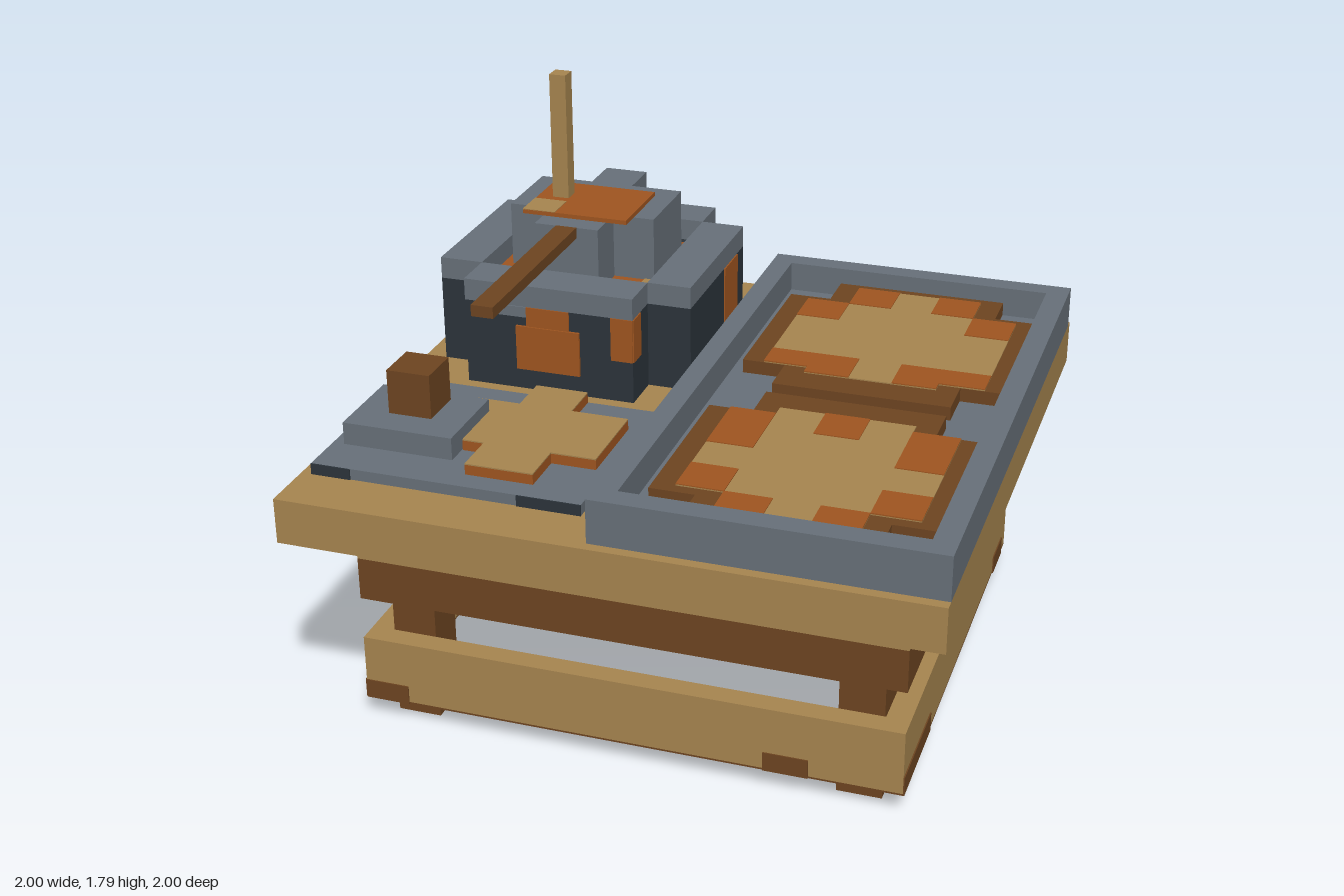
import * as THREE from 'three';

const mat = (name, color) => Object.assign(new THREE.MeshStandardMaterial({ color }), { name });

export function createModel() {
  const root = new THREE.Group();
  root.name = 'cookingTable';
  const tan = mat('tan', 0xa88650), brown = mat('brown', 0x6e4521), orange = mat('orange', 0xa05620);
  const slate = mat('slate', 0x68717a), dark = mat('charcoal', 0x2c343b);

  const group = (name) => {
    const g = new THREE.Group();
    g.name = name;
    root.add(g);
    return g;
  };
  // Box given by its extents along x, y and z
  const box = (g, name, m, x0, x1, y0, y1, z0, z1) => {
    const mesh = new THREE.Mesh(new THREE.BoxGeometry(x1 - x0, y1 - y0, z1 - z0), m);
    mesh.position.set((x0 + x1) / 2, (y0 + y1) / 2, (z0 + z1) / 2);
    mesh.name = name;
    g.add(mesh);
    return mesh;
  };
  const T = 0.004;
  // Thin painted plates: on a level top, on a z face, on an x face (d = outward sign)
  const onTop = (g, name, m, x0, x1, z0, z1, y) => box(g, name, m, x0, x1, y, y + T, z0, z1);
  const onZ = (g, name, m, x0, x1, y0, y1, z, d = 1) =>
    box(g, name, m, x0, x1, y0, y1, Math.min(z, z + d * T), Math.max(z, z + d * T));
  const onX = (g, name, m, z0, z1, y0, y1, x, d = 1) =>
    box(g, name, m, Math.min(x, x + d * T), Math.max(x, x + d * T), y0, y1, z0, z1);

  // Table: top, legs and two rail frames
  const table = group('table');
  box(table, 'tableTop', tan, -1, 1, 0.715, 0.86, -1, 1);
  for (const x of [-0.715, 0.71]) for (const z of [-0.643, 0.643])
    box(table, 'leg', brown, x - 0.07, x + 0.07, 0, 0.715, z - 0.072, z + 0.072);
  const frame = (name, m, y0, y1) => {
    for (const s of [-1, 1]) {
      const x = s * 0.82, z = s * 0.75;
      box(table, name + 'LongRail', m, -0.857, 0.857, y0, y1, z - 0.035, z + 0.035);
      box(table, name + 'SideRail', m, x - 0.037, x + 0.037, y0, y1, -0.715, 0.715);
    }
  };
  frame('upperBrown', brown, 0.43, 0.57);
  frame('upperTan', tan, 0.57, 0.642);
  frame('lowerBase', brown, 0.075, 0.081);
  frame('lower', tan, 0.081, 0.29);
  for (const s of [-1, 1]) {
    onZ(table, 'railStain', brown, -0.857, -0.715, 0.075, 0.138, s * 0.785, s);
    onZ(table, 'railStain', brown, 0.43, 0.57, 0.075, 0.138, s * 0.785, s);
    onX(table, 'railStain', brown, 0.43, 0.785, 0.075, 0.138, s * 0.857, s);
    onX(table, 'railStain', brown, -0.715, -0.57, 0.075, 0.138, s * 0.857, s);
    for (const z of [-0.5, -0.15, 0.2, 0.5])
      onX(table, 'railInnerStain', brown, z - 0.07, z + 0.07, 0.09, 0.288, s * 0.783, -s);
  }
  onTop(table, 'tableStain', brown, -0.075, -0.04, -0.58, -0.43, 0.86);

  // Tray with raised rim
  const tray = group('tray');
  box(tray, 'trayFloor', slate, -0.04, 1, 0.86, 0.9, -0.967, 0.967);
  box(tray, 'trayRim', slate, -0.04, 0.03, 0.9, 1, -0.967, 0.967);
  box(tray, 'trayRim', slate, 0.927, 1, 0.9, 1, -0.967, 0.967);
  box(tray, 'trayRim', slate, 0.03, 0.927, 0.9, 1, -0.967, -0.897);
  box(tray, 'trayRim', slate, 0.03, 0.927, 0.9, 1, 0.893, 0.967);

  // Two cross-shaped loaves with toasted corners
  const top = 0.945;
  const loaf = (name, z, edges) => {
    const g = group(name);
    box(g, 'crust', brown, 0.07, 0.926, 0.9, top, z - 0.287, z + 0.287);
    box(g, 'crust', brown, 0.21, 0.783, 0.9, top, z - 0.432, z + 0.432);
    onTop(g, 'crumb', tan, 0.14, 0.86, edges[0], edges[1], top);
    onTop(g, 'crumb', tan, 0.285, 0.713, edges[2], edges[3], top);
    return g;
  };
  const toast = (g, list) => list.forEach(([x0, x1, z0, z1]) =>
    onTop(g, 'toastedPatch', orange, x0, x1, z0, z1, top + 0.003));
  toast(loaf('backLoaf', -0.465, [-0.72, -0.18, -0.862, -0.14]), [
    [0.285, 0.43, -0.862, -0.72], [0.57, 0.713, -0.862, -0.72],
    [0.14, 0.285, -0.72, -0.575], [0.713, 0.86, -0.72, -0.575],
    [0.14, 0.285, -0.285, -0.18], [0.713, 0.86, -0.285, -0.18],
    [0.285, 0.43, -0.285, -0.14], [0.57, 0.713, -0.285, -0.14]]);
  toast(loaf('frontLoaf', 0.463, [0.18, 0.713, 0.135, 0.86]), [
    [0.14, 0.285, 0.18, 0.425], [0.713, 0.86, 0.18, 0.425], [0.43, 0.57, 0.135, 0.28],
    [0.14, 0.285, 0.57, 0.713], [0.713, 0.86, 0.57, 0.713],
    [0.285, 0.43, 0.713, 0.86], [0.57, 0.713, 0.713, 0.86]]);

  // Serving slab with small stand, blocks and flat dough
  const slab = group('servingSlab');
  box(slab, 'slabBase', slate, -0.967, -0.11, 0.86, 0.895, 0.178, 0.82);
  onZ(slab, 'slabShade', dark, -0.967, -0.84, 0.86, 0.895, 0.82);
  onZ(slab, 'slabShade', dark, -0.31, -0.11, 0.86, 0.895, 0.82);
  box(slab, 'stand', slate, -0.93, -0.575, 0.895, 0.967, 0.39, 0.675);
  box(slab, 'woodBlock', brown, -0.825, -0.685, 0.967, 1.11, 0.428, 0.572);
  box(slab, 'stoneBlock', slate, -0.95, -0.865, 0.895, 0.967, 0.197, 0.283);
  for (const [x0, x1, z0, z1] of [[-0.572, -0.145, 0.32, 0.603], [-0.64, -0.572, 0.32, 0.39],
    [-0.502, -0.33, 0.18, 0.32], [-0.502, -0.287, 0.603, 0.747]]) {
    box(slab, 'doughSide', orange, x0, x1, 0.895, 0.927, z0, z1);
    onTop(slab, 'doughTop', tan, x0, x1, z0, z1, 0.927);
  }

  // Stove: plus-shaped body with a rim of four bars
  const stove = group('stove');
  box(stove, 'stoveBody', dark, -0.785, -0.217, 0.86, 1.145, -0.787, 0.07);
  box(stove, 'stoveBody', dark, -0.93, -0.073, 0.86, 1.145, -0.645, -0.075);
  box(stove, 'stoveRim', slate, -0.785, -0.217, 1.145, 1.217, -0.075, 0.07);
  box(stove, 'stoveRim', slate, -0.785, -0.217, 1.145, 1.217, -0.787, -0.645);
  box(stove, 'stoveRim', slate, -0.93, -0.785, 1.145, 1.217, -0.645, -0.075);
  box(stove, 'stoveRim', slate, -0.217, -0.073, 1.145, 1.217, -0.645, -0.075);
  // Glowing panels and mouth
  onZ(stove, 'glow', orange, -0.575, -0.43, 1.075, 1.145, 0.07);
  box(stove, 'stoveMouth', orange, -0.61, -0.395, 0.93, 1.08, 0.07, 0.079);
  onZ(stove, 'glow', orange, -0.29, -0.217, 1, 1.145, 0.07);
  onX(stove, 'glow', orange, 0, 0.07, 1, 1.145, -0.217);
  onX(stove, 'glow', orange, -0.572, -0.43, 0.93, 1.145, -0.073);
  onX(stove, 'glow', orange, -0.572, -0.43, 0.86, 1, -0.93, -1);
  // Stone patches below the rim
  onZ(stove, 'stonePatch', slate, -0.85, -0.785, 1.02, 1.145, -0.075);
  onZ(stove, 'stonePatch', slate, -0.715, -0.575, 1.11, 1.145, 0.07);
  onZ(stove, 'stonePatch', slate, -0.545, -0.435, 0.86, 0.985, -0.787, -1);
  onX(stove, 'stonePatch', slate, -0.76, -0.66, 1.07, 1.145, -0.785, -1);
  // Embers in the recess
  onTop(stove, 'embers', orange, -0.785, -0.217, -0.61, -0.18, 1.145);
  onTop(stove, 'embers', orange, -0.68, -0.325, -0.18, -0.075, 1.145);
  onTop(stove, 'hotEmbers', tan, -0.715, -0.29, -0.575, -0.5, 1.148);
  onTop(stove, 'hotEmbers', tan, -0.715, -0.645, -0.3, -0.22, 1.148);
  onTop(stove, 'hotEmbers', tan, -0.29, -0.255, -0.3, -0.145, 1.148);

  // Hood, lid, pole and lever
  const hood = group('hood');
  box(hood, 'hoodBody', slate, -0.752, -0.257, 1.145, 1.36, -0.535, -0.255);
  box(hood, 'hoodBack', slate, -0.573, -0.43, 1.145, 1.36, -0.68, -0.535);
  box(hood, 'hoodFront', slate, -0.61, -0.395, 1.145, 1.36, -0.255, -0.11);
  box(hood, 'lid', orange, -0.68, -0.325, 1.36, 1.374, -0.465, -0.183);
  onTop(hood, 'lidPatch', tan, -0.68, -0.57, -0.29, -0.183, 1.372);
  box(hood, 'pole', tan, -0.63, -0.575, 1.374, 1.79, -0.377, -0.322);
  box(hood, 'lever', brown, -0.537, -0.467, 1.325, 1.361, -0.11, 0.572);

  return root;
}
